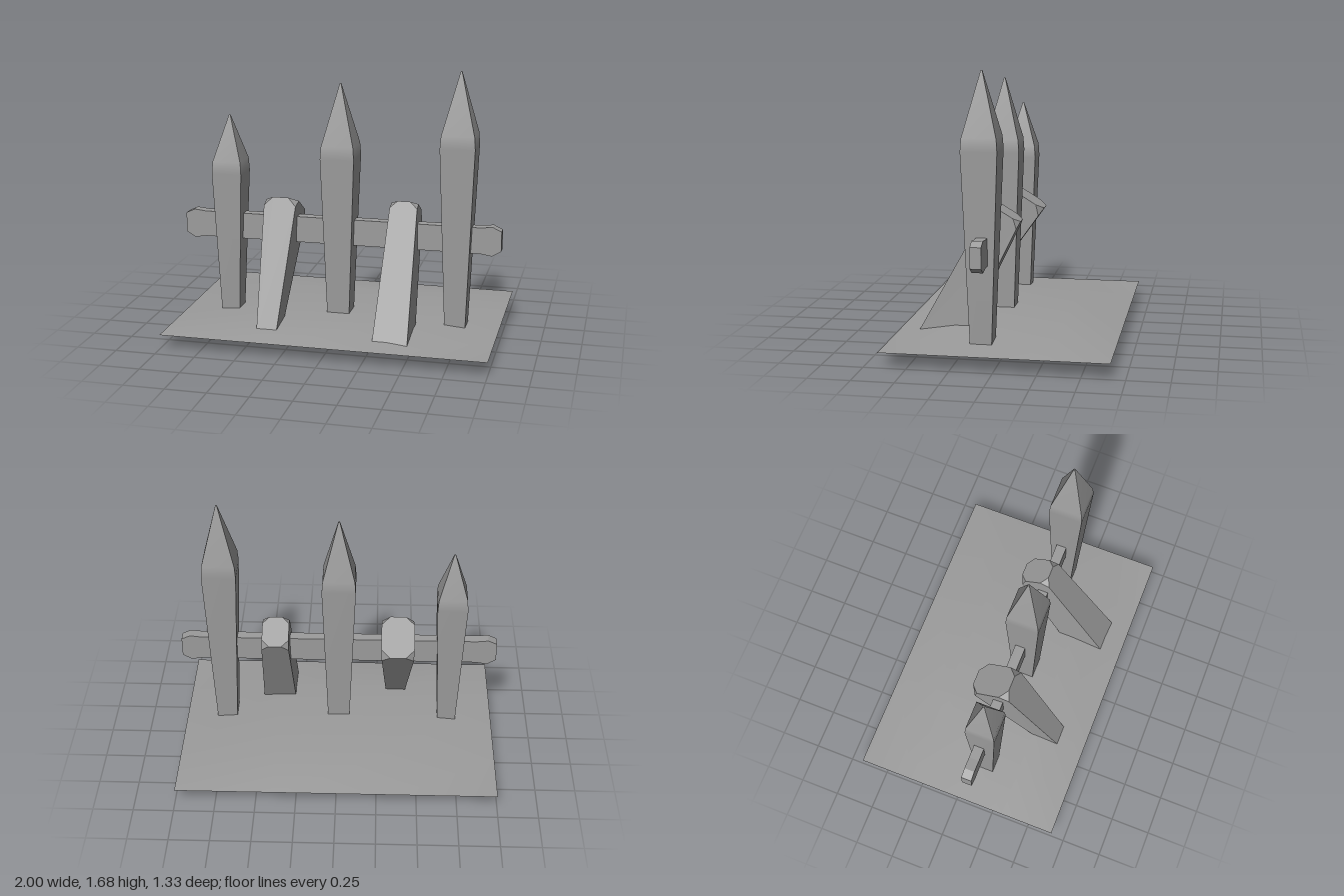
import * as THREE from 'three';
import { mergeGeometries } from 'three/addons/utils/BufferGeometryUtils.js';

const color = 0x9c9c9c;
const material = new THREE.MeshStandardMaterial({ color, side: THREE.DoubleSide });
const flat = new THREE.MeshStandardMaterial({ color, side: THREE.DoubleSide, flatShading: true });

function part(name, geometry, mat = material) {
  const mesh = new THREE.Mesh(geometry, mat);
  mesh.name = name;
  return mesh;
}

// Square stake, open below: smooth along its length, sharp at the four corners.
// rings: [half width, height]
function stakeGeometry(rings) {
  const sides = [];
  for (let k = 0; k < 4; k++) {
    const g = new THREE.PlaneGeometry(1, 1, 1, rings.length - 1);
    const p = g.attributes.position;
    for (let i = 0; i < p.count; i++) {
      const [h, y] = rings[rings.length - 1 - Math.floor(i / 2)];
      p.setXYZ(i, i % 2 ? h : -h, y, h);
    }
    g.computeVertexNormals();
    g.rotateY(k * Math.PI / 2);
    sides.push(g);
  }
  return mergeGeometries(sides);
}

// Flat convex polygons, corners counter-clockwise from outside.
function polygonGeometry(polygons) {
  const points = [];
  for (const poly of polygons)
    for (let i = 1; i < poly.length - 1; i++) points.push(poly[0], poly[i], poly[i + 1]);
  const g = new THREE.BufferGeometry().setFromPoints(points);
  g.computeVertexNormals();
  return g;
}

// Leaning brace, open below, with the four upper corners cut off.
// front and back: [z, y] of the edges at the foot and at the top
function braceGeometry({ x, footHalf, topHalf, footFront, footBack, topFront, topBack, cut }) {
  const corners = (half, front, back) => [[-1, front], [1, front], [1, back], [-1, back]]
    .map(([s, [z, y]]) => new THREE.Vector3(x + s * half, y, z));
  const foot = corners(footHalf, footFront, footBack);
  const top = corners(topHalf, topFront, topBack);
  const toward = (a, b) => a.clone().add(b.clone().sub(a).setLength(cut));
  const polygons = [];
  const cap = [];
  for (let i = 0; i < 4; i++) {
    const j = (i + 1) % 4, h = (i + 3) % 4;
    const lowI = toward(top[i], foot[i]), lowJ = toward(top[j], foot[j]);
    const a = toward(top[i], top[j]), b = toward(top[j], top[i]);
    polygons.push([foot[i], foot[j], lowJ, b, a, lowI]);
    polygons.push([lowI, a, toward(top[i], top[h])]);
    cap.push(a, b);
  }
  polygons.push(cap);
  return polygonGeometry(polygons);
}

// Low mound: a raised middle panel sloping to the four edges.
function groundGeometry() {
  const xs = [-1, -0.38, 0.38, 1], zs = [-0.665, -0.32, 0.32, 0.665];
  const inner = (n) => n === 1 || n === 2;
  const g = new THREE.PlaneGeometry(2, 1.33, 3, 3);
  const p = g.attributes.position;
  for (let i = 0; i < p.count; i++) {
    const col = i % 4, row = Math.floor(i / 4);
    p.setXYZ(i, xs[col], inner(col) && inner(row) ? 0.145 : 0.09, zs[row]);
  }
  g.computeVertexNormals();
  return g;
}

// Plank with slightly flared, chamfered ends.
function railGeometry() {
  const end = [[0.87, 0.575], [0.945, 0.563], [1, 0.597], [1, 0.72], [0.945, 0.746], [0.87, 0.738]];
  const outline = [...end, ...end.map(([x, y]) => [-x, y]).reverse()];
  const shape = new THREE.Shape(outline.map(([x, y]) => new THREE.Vector2(x, y)));
  return new THREE.ExtrudeGeometry(shape, { depth: 0.065, bevelEnabled: false }).translate(0, 0, 0.06);
}

export function createModel() {
  const model = new THREE.Group();
  model.name = 'stakeBarricade';

  model.add(part('ground', groundGeometry()));
  model.add(part('rail', railGeometry(), flat));

  // Upright pointed stakes
  const stakes = [
    { name: 'rightStake', x: -0.705, foot: 0.058, bottom: 0.1, half: 0.094, shoulder: 1, tip: 1.36 },
    { name: 'middleStake', x: 0, foot: 0.065, bottom: 0, half: 0.105, shoulder: 1.13, tip: 1.582 },
    { name: 'leftStake', x: 0.733, foot: 0.064, bottom: 0.1, half: 0.106, shoulder: 1.23, tip: 1.682 },
  ];
  for (const s of stakes) {
    const mesh = part(s.name, stakeGeometry([
      [s.foot, s.bottom], [s.half, s.shoulder], [s.half * 0.95, s.shoulder + 0.075], [0.004, s.tip],
    ]));
    mesh.position.set(s.x, 0, 0.105);
    model.add(mesh);
  }

  // Braces leaning back over the rail
  model.add(part('rightBrace', braceGeometry({
    x: -0.373, footHalf: 0.062, topHalf: 0.104, cut: 0.055,
    footFront: [0.502, 0.095], footBack: [0.345, 0.095], topFront: [0.145, 0.861], topBack: [-0.095, 0.714],
  }), flat));
  model.add(part('leftBrace', braceGeometry({
    x: 0.398, footHalf: 0.107, topHalf: 0.084, cut: 0.045,
    footFront: [0.545, 0.085], footBack: [0.262, 0.085], topFront: [0.108, 0.871], topBack: [-0.068, 0.767],
  }), flat));

  return model;
}
